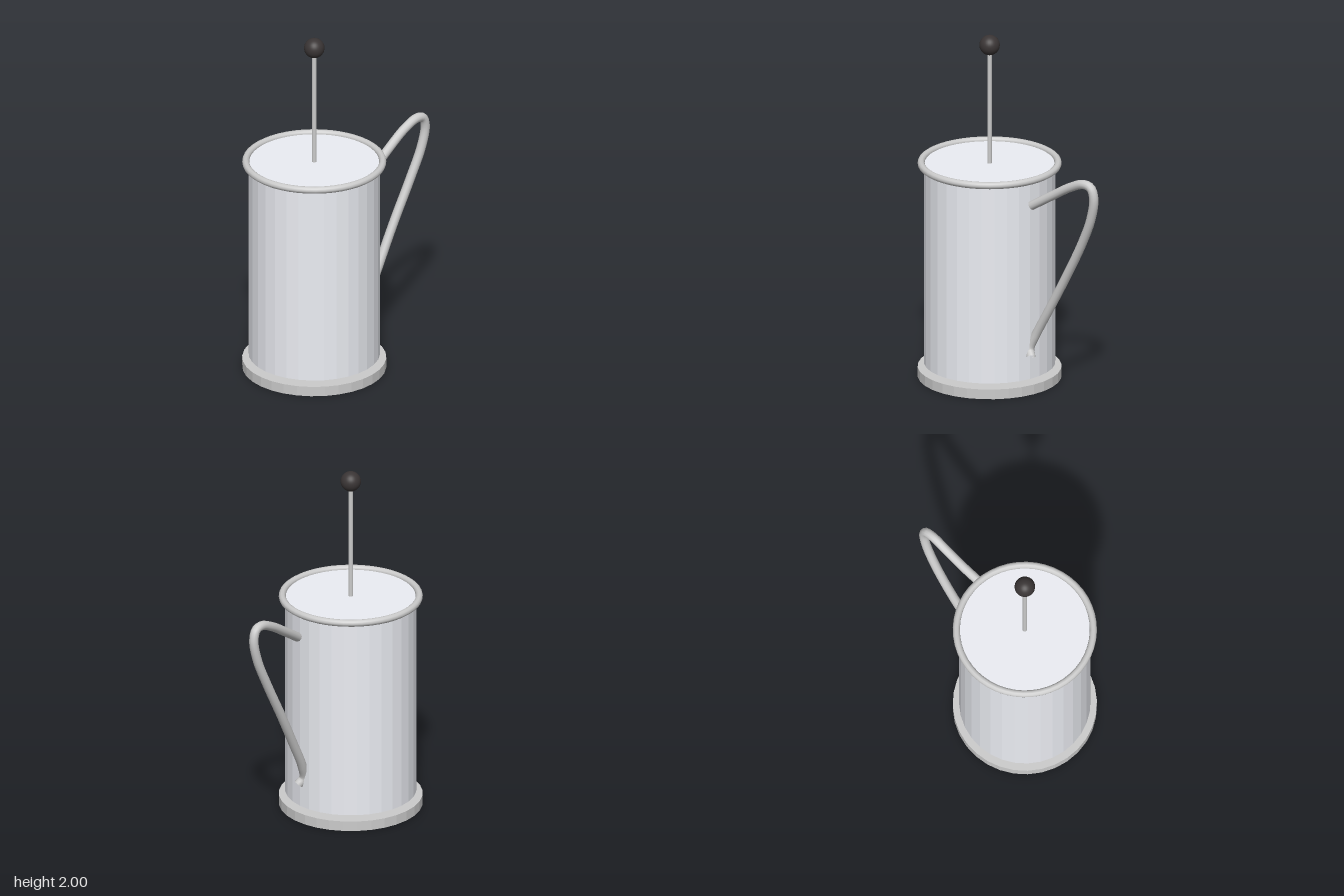
import * as THREE from 'three';

export function createModel() {
  const model = new THREE.Group();
  const metal = new THREE.MeshStandardMaterial({ color: 0xcccccc });
  const flatMetal = new THREE.MeshStandardMaterial({ color: 0xcccccc, flatShading: true });
  const glass = new THREE.MeshStandardMaterial({ color: 0xeceef4, flatShading: true });
  const black = new THREE.MeshStandardMaterial({ color: 0x3a3535 });

  const add = (name, geometry, material, x, y, z = 0) => {
    const mesh = new THREE.Mesh(geometry, material);
    mesh.name = name;
    mesh.position.set(x, y, z);
    model.add(mesh);
    return mesh;
  };
  // Upright cylinder given by its bottom and top heights
  const axisX = -0.21;
  const post = (name, radius, bottom, top, sides, material) =>
    add(name, new THREE.CylinderGeometry(radius, radius, top - bottom, sides), material, axisX, (bottom + top) / 2);

  // Base plate, floating slightly below the beaker
  post('base', 0.4, 0, 0.057, 32, flatMetal);

  // Beaker, closed at the top by a flat lid
  post('beaker', 0.365, 0.08, 1.25, 32, glass);

  // Rolled rim
  const rim = add('rim', new THREE.TorusGeometry(0.38, 0.02, 10, 48), metal, axisX, 1.25);
  rim.rotation.x = Math.PI / 2;

  // Plunger rod and knob
  post('plungerRod', 0.013, 1.2, 1.92, 16, metal);
  add('plungerKnob', new THREE.SphereGeometry(0.057, 32, 20), black, axisX, 1.943);

  // Bent tube handle, leaning backwards, with open ends
  const path = new THREE.CatmullRomCurve3([
    [0.17, 1.105, 0], [0.3, 1.19, -0.045], [0.42, 1.265, -0.08], [0.51, 1.302, -0.1],
    [0.56, 1.292, -0.112], [0.58, 1.235, -0.118], [0.555, 1.11, -0.119], [0.48, 0.94, -0.112],
    [0.36, 0.71, -0.09], [0.25, 0.5, -0.06], [0.165, 0.335, -0.033], [0.137, 0.25, -0.012],
    [0.165, 0.213, 0],
  ].map(p => new THREE.Vector3(...p)));
  const tubeMaterial = metal.clone();
  tubeMaterial.side = THREE.DoubleSide;
  add('handle', new THREE.TubeGeometry(path, 96, 0.026, 12), tubeMaterial, 0, 0);

  return model;
}
